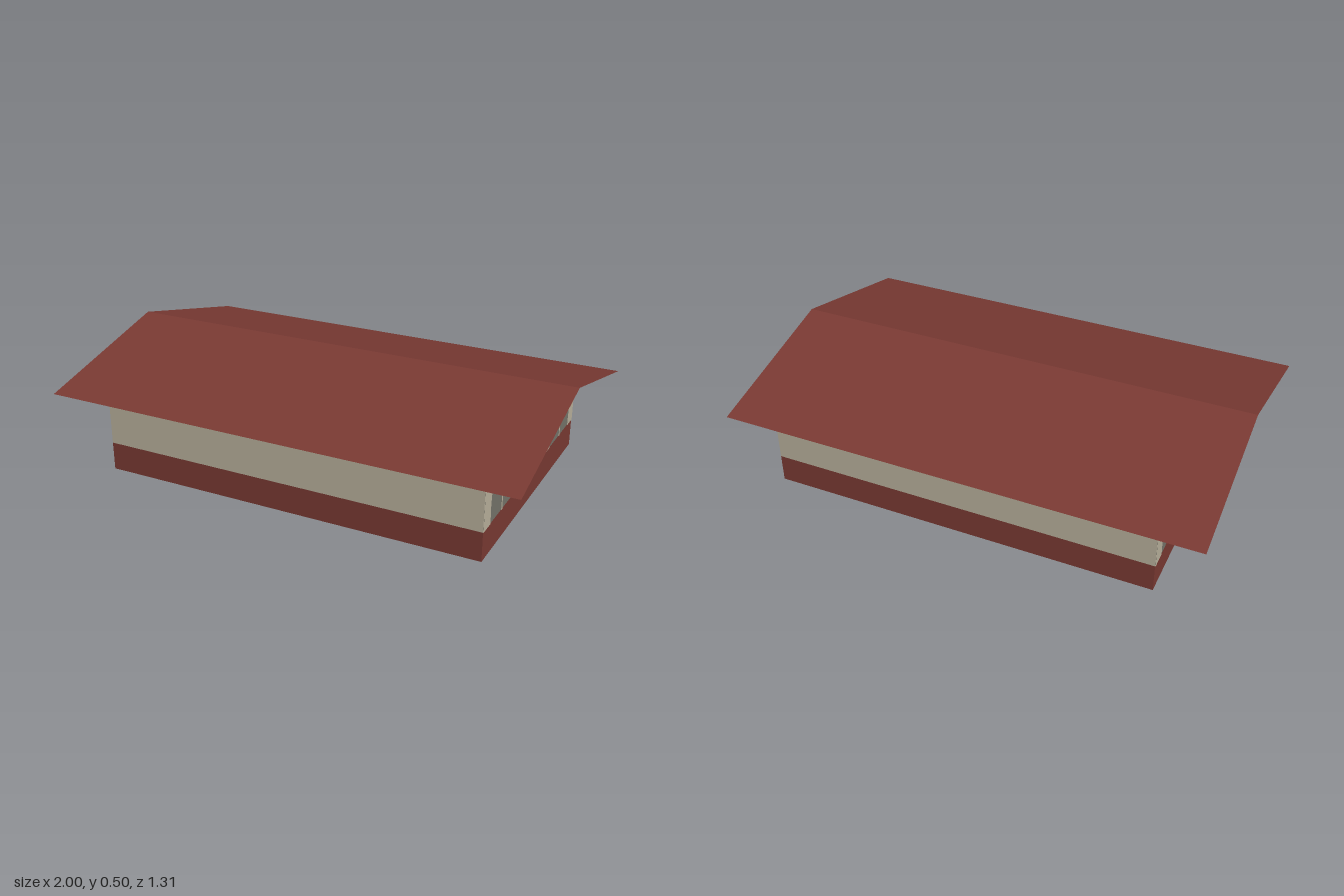
import * as THREE from 'three';

const MIDX = 0.02, HALF_X = 0.82, HALF_Z = 0.555;
const BASE = 0.12, RIDGE = 0.502, EAVE = 0.34, EAVE_Z = 0.657;
const GABLE_DEPTH = 0.055;

const material = (name, color, side = THREE.FrontSide) => {
  const m = new THREE.MeshStandardMaterial({ color, side });
  m.name = name;
  return m;
};

const toShape = (pts) => new THREE.Shape(pts.map(([x, y]) => new THREE.Vector2(x, y)));

export function createModel() {
  const red = material('brick red', 0x7a3a33, THREE.DoubleSide);
  const beige = material('pale stone', 0xbab29d);
  const grey = material('grey plaster', 0x76746a);

  const model = new THREE.Group();
  model.name = 'gabledHall';
  const add = (parent, name, geometry, mat, x = 0, y = 0, z = 0) => {
    const mesh = new THREE.Mesh(geometry, mat);
    mesh.name = name;
    mesh.position.set(x, y, z);
    parent.add(mesh);
    return mesh;
  };

  // Plinth, its top serving as the floor
  add(model, 'plinth', new THREE.BoxGeometry(HALF_X * 2, BASE, HALF_Z * 2), red, MIDX, BASE / 2, 0);

  // Thin two-slope roof sheet
  for (const s of [1, -1]) {
    const slope = new THREE.BufferGeometry();
    const a = [-1, EAVE, s * EAVE_Z], b = [1, EAVE, s * EAVE_Z];
    const c = [1, RIDGE, 0], d = [-1, RIDGE, 0];
    const corners = s > 0 ? [a, b, c, d] : [b, a, d, c];
    slope.setAttribute('position', new THREE.Float32BufferAttribute(corners.flat(), 3));
    slope.setIndex([0, 1, 2, 0, 2, 3]);
    slope.computeVertexNormals();
    add(model, s > 0 ? 'frontRoofSlope' : 'backRoofSlope', slope, red);
  }

  // Long side walls
  const roofAt = (z) => RIDGE - (RIDGE - EAVE) * z / EAVE_Z - 0.002;
  const wallTop = roofAt(HALF_Z);
  for (const s of [1, -1]) {
    add(model, s > 0 ? 'frontWall' : 'backWall',
      new THREE.BoxGeometry(HALF_X * 2, wallTop - BASE, 0.004), beige,
      MIDX, (wallTop + BASE) / 2, s * (HALF_Z - 0.002));
  }

  // Gable outline with the faceted arch cut from its foot
  const inner = HALF_Z - 0.004;
  const gableShape = toShape([
    [-inner, BASE], [-0.165, BASE], [-0.165, 0.29], [-0.124, 0.355], [-0.042, 0.39],
    [0.042, 0.39], [0.124, 0.355], [0.165, 0.29], [0.165, BASE], [inner, BASE],
    [inner, roofAt(inner)], [0, roofAt(0)], [-inner, roofAt(inner)],
  ]);

  // Stone facings: corner pier, arch jamb and narrow slit
  const facings = {
    cornerStone: [[0.555, 0.12], [0.484, 0.12], [0.488, 0.19], [0.484, 0.245],
      [0.476, 0.255], [0.476, 0.278], [0.485, 0.285], [0.555, 0.285]],
    jambStone: [[0.165, 0.12], [0.226, 0.12], [0.224, 0.19], [0.228, 0.245],
      [0.236, 0.255], [0.236, 0.276], [0.228, 0.285], [0.165, 0.285]],
    slitStone: [[0.357, 0.12], [0.359, 0.2], [0.356, 0.235], [0.349, 0.255], [0.35, 0.272],
      [0.357, 0.277], [0.371, 0.277], [0.379, 0.27], [0.379, 0.25], [0.37, 0.235],
      [0.367, 0.2], [0.37, 0.12]],
  };

  // Matching gable ends, each built facing outwards
  for (const s of [1, -1]) {
    const gable = new THREE.Group();
    gable.name = s > 0 ? 'leftGable' : 'rightGable';
    add(gable, 'gableWall',
      new THREE.ExtrudeGeometry(gableShape, { depth: GABLE_DEPTH, bevelEnabled: false }),
      grey, 0, 0, -GABLE_DEPTH);
    add(gable, 'doorSill', new THREE.BoxGeometry(0.33, 0.004, GABLE_DEPTH), grey,
      0, BASE, -GABLE_DEPTH / 2);
    for (const [name, pts] of Object.entries(facings)) {
      for (const side of [1, -1]) {
        const shape = toShape(pts.map(([x, y]) => [x * side, y]));
        add(gable, name, new THREE.ShapeGeometry(shape), beige, 0, 0, 0.002);
      }
    }
    gable.rotation.y = s * Math.PI / 2;
    gable.position.x = MIDX + s * HALF_X;
    model.add(gable);
  }
  return model;
}
